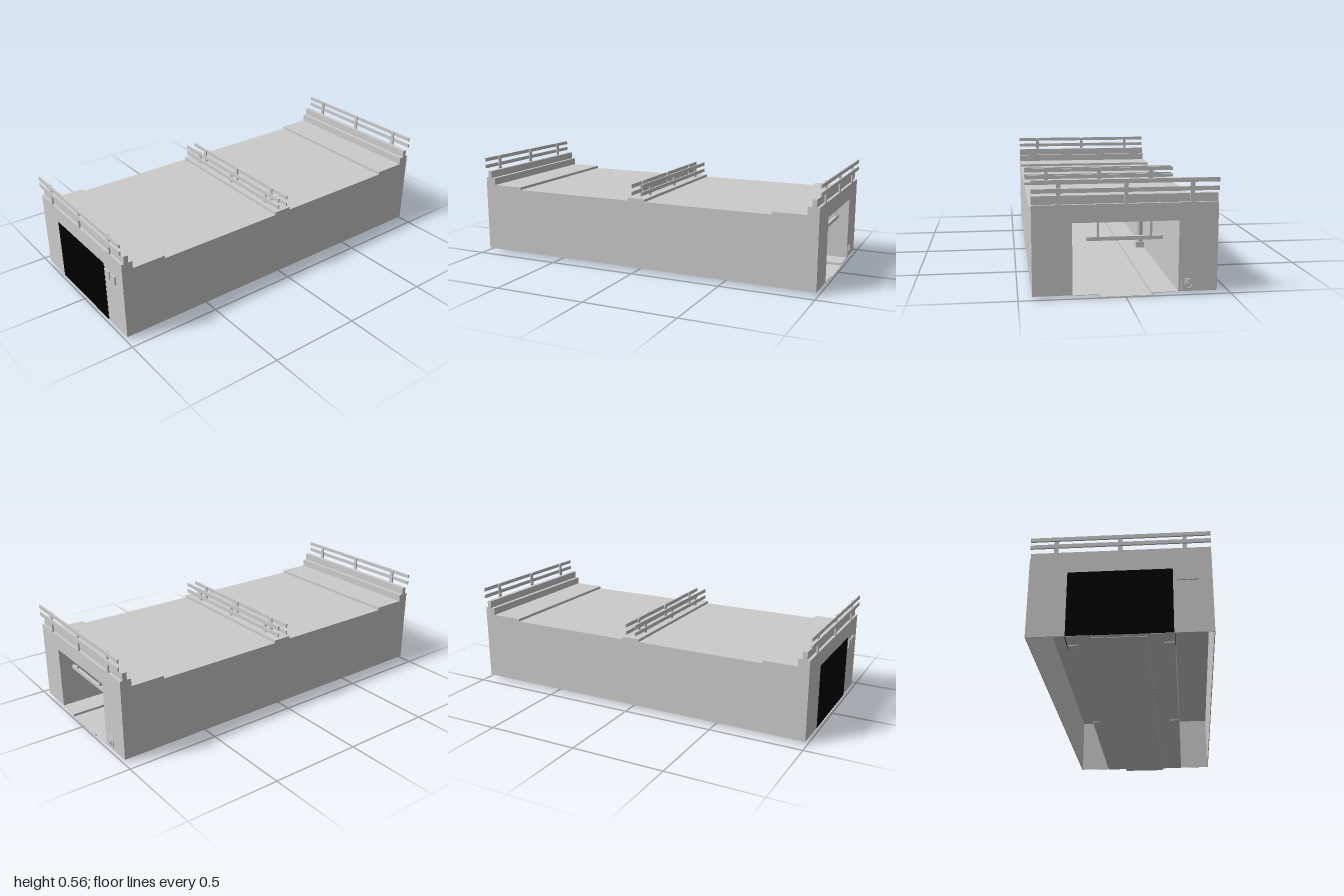
import * as THREE from 'three';

const GREY = new THREE.MeshStandardMaterial({ color: 0xcccccc, side: THREE.DoubleSide });
const BLACK = new THREE.MeshStandardMaterial({ color: 0x000000 });
const DARK = new THREE.MeshStandardMaterial({ color: 0x505050 });
const L = 0.99, W = 0.435, BASE = 0.015, CEIL = 0.355, IN = 0.25;

export function createModel() {
  const root = new THREE.Group();

  function add(name, geometry, material = GREY, parent = root) {
    const mesh = new THREE.Mesh(geometry, material);
    mesh.name = name;
    parent.add(mesh);
    return mesh;
  }
  // Box given by its minimum and maximum corners
  function box(name, x0, x1, y0, y1, z0, z1, material = GREY, parent = root) {
    const m = add(name, new THREE.BoxGeometry(x1 - x0, y1 - y0, z1 - z0), material, parent);
    m.position.set((x0 + x1) / 2, (y0 + y1) / 2, (z0 + z1) / 2);
    return m;
  }

  // Stepped roof line with parapets, mirrored about x = 0
  const half = [[0.05, 0.4], [0.05, 0.385], [0.75, 0.385], [0.75, 0.4], [0.93, 0.4], [0.93, 0.44],
    [0.952, 0.44], [0.952, 0.48], [0.976, 0.48], [0.976, 0.44], [L, 0.44]];
  const roofLine = [...half.map(([x, y]) => [-x, y]).reverse(), ...half];
  function slab(name, bottom, z0, z1) {
    const pts = [...roofLine, [L, bottom], [-L, bottom]].map(([x, y]) => new THREE.Vector2(x, y));
    const g = new THREE.ExtrudeGeometry(new THREE.Shape(pts), { depth: z1 - z0, bevelEnabled: false });
    g.translate(0, 0, z0);
    add(name, g);
  }
  slab('roof', CEIL, -W, W);
  slab('frontWall', BASE, W - 0.004, W);
  slab('backWall', BASE, -W, -W + 0.004);

  // End walls with a portal opening
  for (const s of [-1, 1]) {
    const x0 = s > 0 ? L - 0.004 : -L, x1 = x0 + 0.004;
    for (const t of [-1, 1]) {
      box('endWall', x0, x1, BASE, CEIL, t > 0 ? IN : -W, t > 0 ? W : -IN);
    }
  }

  // Inner wall panels
  for (const s of [-1, 1]) {
    for (let i = 0; i < 4; i++) {
      const x = -L + i * L / 2;
      box('innerWallPanel', x, x + L / 2, BASE, CEIL, s * IN - 0.001, s * IN + 0.001);
    }
    box('darkSidePanel', -L, -0.86, BASE, CEIL, s * 0.253 - 0.001, s * 0.253 + 0.001, BLACK);
  }

  // Closed far portal: dark outside, plain inside
  box('darkDoor', -L - 0.002, -L + 0.001, BASE, CEIL, -IN, IN, BLACK);
  box('doorLining', -L + 0.001, -L + 0.004, BASE, CEIL, -IN, IN);

  // Floor strips beside a shallow central trough
  for (const s of [-1, 1]) {
    box('floorStrip', -L, L, 0.013, BASE, s > 0 ? 0.125 : -IN, s > 0 ? IN : -0.125);
    box('troughSide', -L, L, 0, BASE, s * 0.125 - 0.001, s * 0.125 + 0.001);
  }
  box('troughFloor', -L, L, 0, 0.002, -0.125, 0.125);

  // Railings: two bars on three posts
  function railing(name, x, s, foot, lower, upper) {
    const g = new THREE.Group();
    g.name = name;
    root.add(g);
    for (const y of [lower, upper]) {
      box('railBar', x - 0.004, x + 0.004, y, y + 0.02, -W, W, GREY, g);
    }
    const px = x - s * 0.007;
    for (const z of [-0.31, 0, 0.31]) {
      box('railPost', px - 0.004, px + 0.004, foot, upper + 0.018, z - 0.01, z + 0.01, GREY, g);
    }
  }
  for (const s of [-1, 1]) {
    railing('endRailing', s * 0.993, s, 0.44, 0.495, 0.535);
    railing('middleRailing', s * 0.028, s, 0.4, 0.415, 0.455);
  }

  // Gantries with round columns
  for (const x of [0.1, -0.88]) {
    const g = new THREE.Group();
    g.name = 'gantry';
    root.add(g);
    for (const s of [-1, 1]) {
      const z = s * 0.225;
      const column = add('column', new THREE.CylinderGeometry(0.02, 0.02, 0.3, 16), GREY, g);
      column.position.set(x, 0.197, z);
      box('columnBase', x - 0.025, x + 0.025, 0.008, 0.05, z - 0.024, z + 0.024, GREY, g);
      box('columnBand', x - 0.023, x + 0.023, 0.25, 0.264, z - 0.023, z + 0.023, GREY, g);
      box('columnTop', x - 0.024, x + 0.024, 0.345, CEIL, z - 0.024, z + 0.024, GREY, g);
    }
    box('crossBeam', x - 0.02, x + 0.02, 0.281, 0.319, -0.205, 0.205, DARK, g);
    box('beamMotor', x - 0.015, x + 0.015, 0.283, 0.317, -0.249, -0.24, GREY, g);
  }

  // Hanging height bar at the entrance
  box('heightBar', 0.935, 0.95, 0.26, 0.278, -0.18, 0.18);
  for (const s of [-1, 1]) {
    box('barHanger', 0.938, 0.947, 0.275, CEIL, s * 0.125 - 0.005, s * 0.125 + 0.005);
    box('ceilingLamp', 0.7, 0.8, 0.343, CEIL, s * 0.062 - 0.031, s * 0.062 + 0.031);
  }

  // Control box beside the entrance, plates beside the far portal
  box('controlBox', L, 0.994, 0.025, 0.075, -0.327, -0.265);
  const ring = add('controlRing', new THREE.TorusGeometry(0.019, 0.003, 6, 20));
  ring.rotation.y = Math.PI / 2;
  ring.position.set(0.995, 0.05, -0.296);
  const knob = add('controlKnob', new THREE.CylinderGeometry(0.012, 0.012, 0.006, 16));
  knob.rotation.z = Math.PI / 2;
  knob.position.set(0.997, 0.05, -0.296);
  for (const z of [0.268, 0.322]) box('wallPlate', -0.998, -L, 0.29, 0.337, z, z + 0.044);

  return root;
}
